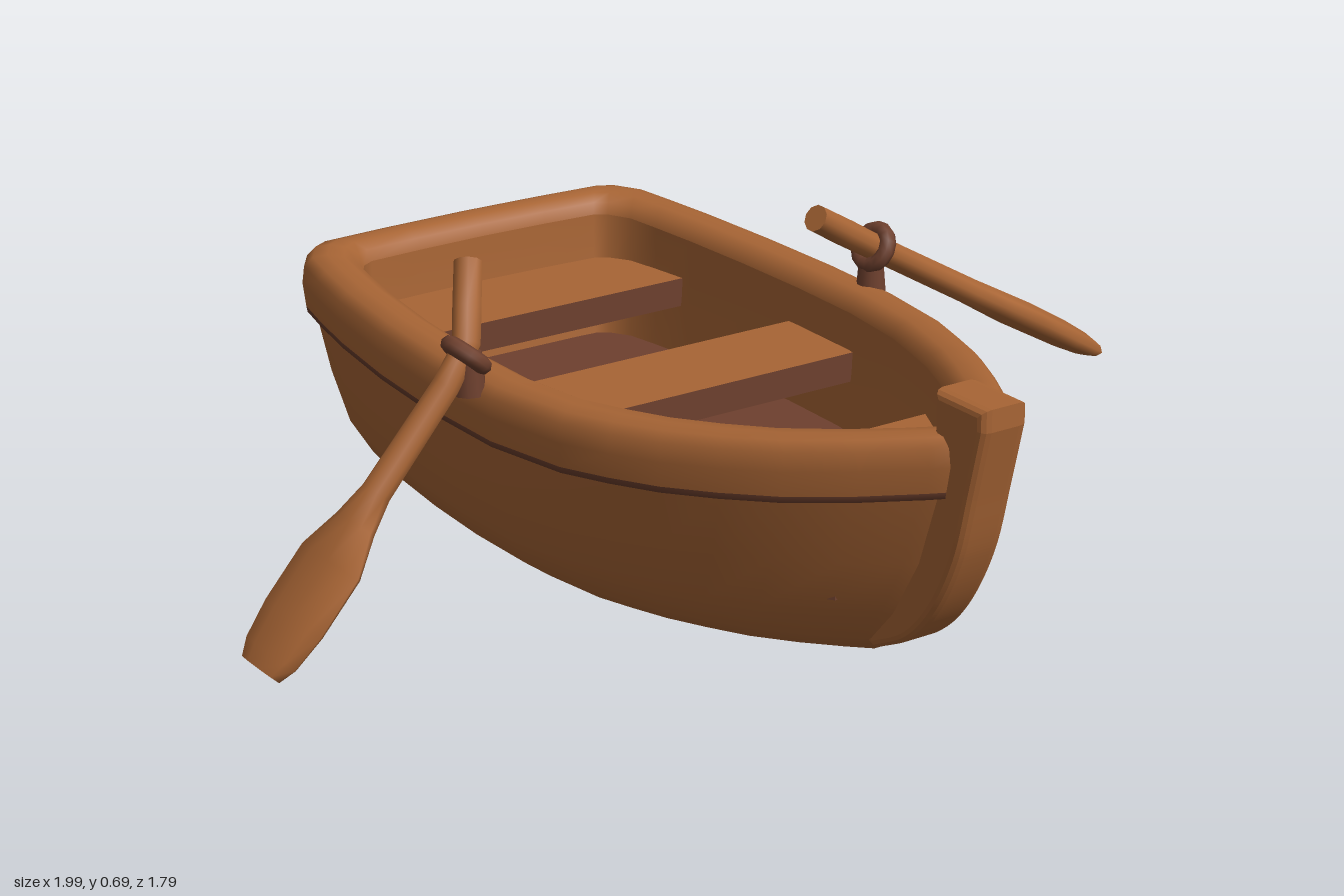
import * as THREE from 'three';

const wood = new THREE.MeshStandardMaterial({ color: 0xa86535 });
wood.name = 'warm wood';
const darkWood = new THREE.MeshStandardMaterial({ color: 0x6e402e });
darkWood.name = 'dark wood';

// Half-width of the boat's plan (0..1) from stern (t = 0) to bow (t = 1)
const PLAN = [[0, 0.72], [0.01, 0.79], [0.04, 0.865], [0.09, 0.9], [0.16, 0.94], [0.27, 0.98], [0.39, 1],
  [0.51, 0.99], [0.62, 0.925], [0.68, 0.85], [0.74, 0.765], [0.8, 0.65], [0.86, 0.52], [0.92, 0.34], [0.97, 0.16], [1, 0.04]];

function planWidth(t) {
  for (let i = 1; i < PLAN.length; i++) {
    const [t0, w0] = PLAN[i - 1], [t1, w1] = PLAN[i];
    if (t <= t1) return w0 + (w1 - w0) * Math.max(0, (t - t0) / (t1 - t0));
  }
  return PLAN[PLAN.length - 1][1];
}

function add(parent, name, geometry, material) {
  const mesh = new THREE.Mesh(geometry, material);
  mesh.name = name;
  parent.add(mesh);
  return mesh;
}

// Skin through closed rings holding the same number of points
function loft(rings) {
  const n = rings[0].length, index = [];
  for (let i = 0; i < rings.length - 1; i++) {
    for (let j = 0; j < n; j++) {
      const a = i * n + j, b = i * n + (j + 1) % n;
      index.push(a, a + n, b, b, a + n, b + n);
    }
  }
  const g = new THREE.BufferGeometry().setFromPoints(rings.flat());
  g.setIndex(index);
  g.computeVertexNormals();
  return g;
}

// Horizontal outline of the boat; the sheer lifts both ends
function hullRing([y, w, zBack, zFront, sheer]) {
  const at = (x, t) => {
    const z = zBack + (zFront - zBack) * t;
    const lift = sheer * z * z * (z > 0 ? 0.11 : 0.03);
    return new THREE.Vector3(x, y + lift, z);
  };
  const side = [at(w * 0.4, -0.004), ...PLAN.map(([t, f]) => at(w * f, t))];
  const other = side.map((p) => new THREE.Vector3(-p.x, p.y, p.z)).reverse();
  return [at(0, -0.006), ...side, ...other];
}

// Board whose sides follow the inside of the hull
function board(z0, z1, thickness, width) {
  const pts = [];
  for (let i = 0; i <= 12; i++) {
    const z = z0 + (z1 - z0) * i / 12;
    pts.push(new THREE.Vector2(width * planWidth((z + 0.8) / 1.53), -z));
  }
  const mirrored = pts.map((p) => new THREE.Vector2(-p.x, p.y)).reverse();
  const g = new THREE.ExtrudeGeometry(new THREE.Shape([...pts, ...mirrored]), { depth: thickness, bevelEnabled: false });
  return g.rotateX(-Math.PI / 2);
}

// Oar from handle through its lock to the blade tip
function oar(handle, lock, tip, blade) {
  const rings = [];
  const ring = (from, to, t, w, h) => {
    const d = to.clone().sub(from).normalize();
    const side = new THREE.Vector3(0, 0, 1).addScaledVector(d, -d.z).normalize();
    const normal = side.clone().cross(d);
    const c = from.clone().lerp(to, t);
    rings.push(Array.from({ length: 10 }, (_, k) => {
      const a = k / 10 * Math.PI * 2;
      return c.clone().addScaledVector(side, Math.cos(a) * w).addScaledVector(normal, Math.sin(a) * h);
    }));
  };
  for (const [t, r] of [[0, 0], [0, 0.027], [0, 0.027], [0.5, 0.028], [0.9, 0.027]]) ring(handle, lock, t, r, r);
  const sections = [[0.1, 0.027, 0.027], [0.44, 0.032, 0.028], [0.54, 0.055, 0.03], [0.66, blade, 0.032],
    [0.84, blade * 1.02, 0.03], [0.95, blade * 0.9, 0.025], [1, blade * 0.68, 0.02], [1, blade * 0.68, 0.02], [1, 0, 0]];
  for (const [t, w, h] of sections) ring(lock, tip, t, w, h);
  return loft(rings);
}

export function createModel() {
  const model = new THREE.Group();
  model.name = 'rowingBoat';
  const boat = new THREE.Group();
  boat.name = 'boat';
  boat.position.x = -0.055;
  model.add(boat);

  // Hull skin, from keel line to the underside of the rim: y, half width, stern z, bow z, sheer
  const shell = [[0.016, 0, -0.45, 0.3, 0], [0.022, 0.14, -0.52, 0.36, 0], [0.035, 0.24, -0.61, 0.45, 0],
    [0.06, 0.32, -0.69, 0.56, 0], [0.1, 0.375, -0.765, 0.63, 0.1], [0.16, 0.412, -0.8, 0.69, 0.3],
    [0.26, 0.438, -0.833, 0.76, 0.6], [0.375, 0.458, -0.86, 0.81, 1]];
  add(boat, 'hull', loft(shell.map(hullRing)), wood);

  // Dark seam below the rim
  const seam = [[0.37, 0.456, -0.858, 0.808, 1], [0.371, 0.472, -0.873, 0.828, 1], [0.383, 0.474, -0.874, 0.83, 1]];
  add(boat, 'rimSeam', loft(seam.map(hullRing)), darkWood);

  // Rounded rim, then the inner wall
  const rim = [[0.383, 0.474, -0.874, 0.83, 1], [0.43, 0.477, -0.882, 0.84, 1], [0.465, 0.472, -0.88, 0.835, 1],
    [0.484, 0.455, -0.868, 0.82, 1], [0.492, 0.43, -0.845, 0.79, 1], [0.49, 0.4, -0.82, 0.75, 1],
    [0.478, 0.378, -0.797, 0.72, 1], [0.455, 0.37, -0.79, 0.71, 1]];
  add(boat, 'rim', loft(rim.map(hullRing)), wood);
  const inner = [rim[7], [0.34, 0.365, -0.785, 0.7, 0.6], [0.2, 0.35, -0.765, 0.66, 0]];
  add(boat, 'innerWall', loft(inner.map(hullRing)), wood);

  // Floor and seats: light tops with dark edges
  add(boat, 'floor', board(-0.77, 0.6, 0.02, 0.375), darkWood).position.y = 0.2;
  for (const [name, z0, z1] of [['sternSeat', -0.8, -0.57], ['middleSeat', -0.23, -0.01], ['bowDeck', 0.335, 0.72]]) {
    add(boat, name, board(z0, z1, 0.06, 0.385), [wood, darkWood]).position.y = 0.32;
  }

  // Stem post curving up the bow
  const stem = new THREE.Shape();
  stem.moveTo(0.6, 0.1);
  stem.splineThru([[0.69, 0.15], [0.76, 0.23], [0.815, 0.34], [0.85, 0.47], [0.88, 0.59]].map((p) => new THREE.Vector2(...p)));
  stem.lineTo(0.88, 0.615);
  stem.lineTo(0.775, 0.615);
  stem.lineTo(0.775, 0.55);
  stem.splineThru([[0.75, 0.42], [0.69, 0.27], [0.57, 0.11]].map((p) => new THREE.Vector2(...p)));
  const stemGeometry = new THREE.ExtrudeGeometry(stem, {
    depth: 0.06, bevelThickness: 0.02, bevelSize: 0.015, bevelSegments: 3, curveSegments: 16,
  });
  stemGeometry.translate(0, 0, -0.03).rotateY(-Math.PI / 2);
  add(boat, 'stemPost', stemGeometry, wood);

  // Broken keel strip under the hull
  for (const [z, length, width, bottom] of [[-0.3, 0.5, 0.05, 0.01], [-0.06, 0.13, 0.1, 0], [0.09, 0.05, 0.04, 0.012], [0.27, 0.2, 0.05, 0.012]]) {
    const g = new THREE.CylinderGeometry(0.5, 0.42, 0.022, 16).scale(width, 1, length);
    add(boat, 'keelStrip', g, darkWood).position.set(0, bottom + 0.011, z);
  }

  // Oars and their locks
  const V = (x, y, z) => new THREE.Vector3(x, y, z);
  const sets = [
    ['left', V(0.235, 0.66, -0.04), V(0.395, 0.565, -0.065), V(0.985, 0.225, -0.115), 0.09],
    ['right', V(-0.47, 0.675, -0.16), V(-0.535, 0.535, -0.065), V(-0.98, 0.022, -0.07), 0.1],
  ];
  for (const [side, handle, lock, tip, blade] of sets) {
    add(model, side + 'Oar', oar(handle, lock, tip, blade), wood);
    const ring = add(model, side + 'OarlockRing', new THREE.TorusGeometry(0.036, 0.017, 8, 14), darkWood);
    ring.position.copy(lock);
    ring.lookAt(tip);
    const post = add(model, side + 'OarlockPost', new THREE.CylinderGeometry(0.025, 0.032, 0.08, 10), darkWood);
    post.position.set(lock.x - Math.sign(lock.x) * 0.005, 0.5, lock.z);
  }
  return model;
}
